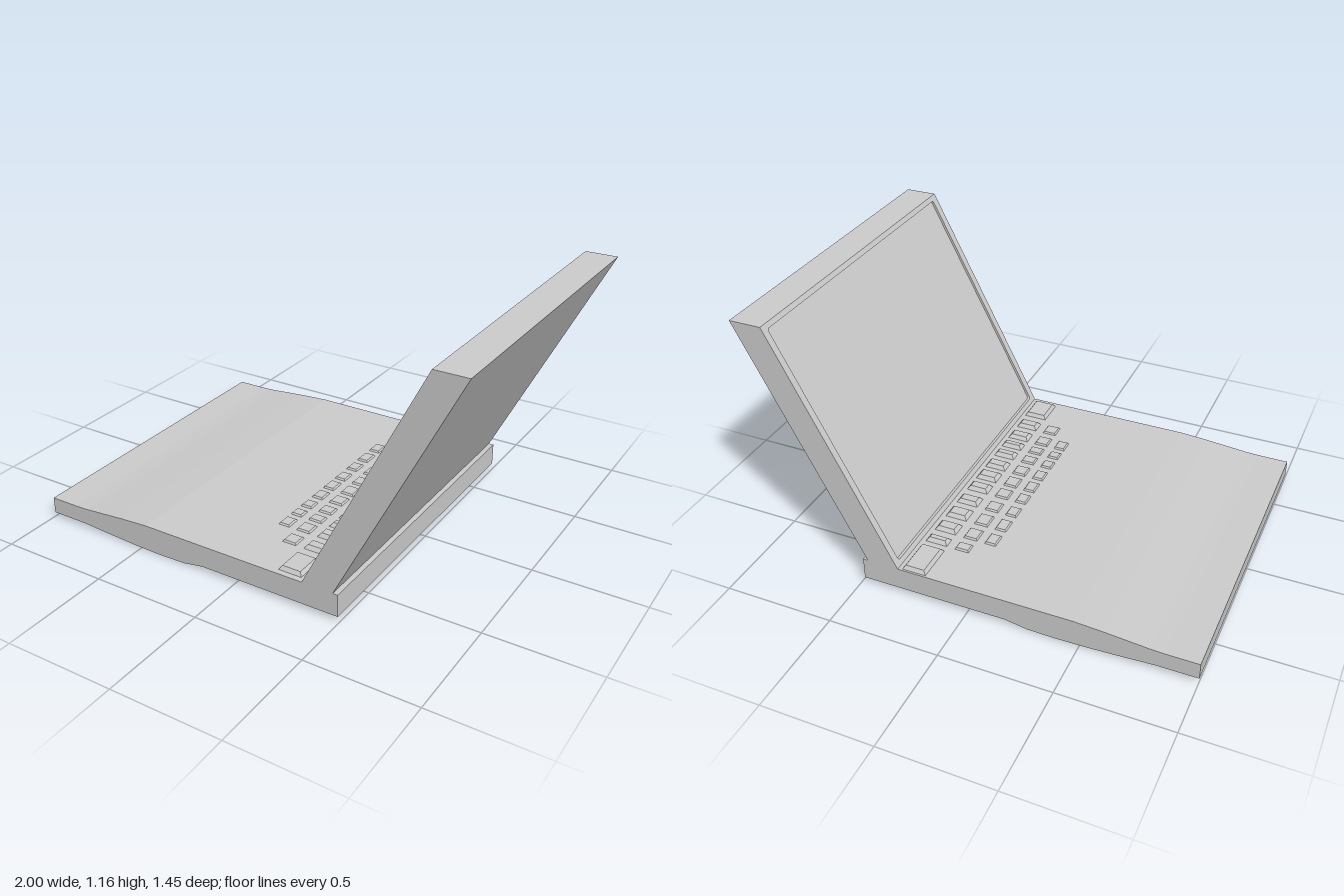
import * as THREE from 'three';

const material = new THREE.MeshStandardMaterial({ color: 0xcccccc, flatShading: true });
const HALF = 0.727; // half of the width along z

function add(parent, name, geometry) {
  const mesh = new THREE.Mesh(geometry, material);
  mesh.name = name;
  parent.add(mesh);
  return mesh;
}

function shapeOf(points) {
  return new THREE.Shape(points.map(([x, y]) => new THREE.Vector2(x, y)));
}

function extrude(shape, depth) {
  return new THREE.ExtrudeGeometry(shape, { depth, bevelEnabled: false, curveSegments: 4 });
}

// Rounded rectangle, used for the opening of the screen bezel
function roundedRect(path, x0, y0, x1, y1, rx, ry) {
  path.moveTo(x0 + rx, y0);
  path.lineTo(x1 - rx, y0);
  path.quadraticCurveTo(x1, y0, x1, y0 + ry);
  path.lineTo(x1, y1 - ry);
  path.quadraticCurveTo(x1, y1, x1 - rx, y1);
  path.lineTo(x0 + rx, y1);
  path.quadraticCurveTo(x0, y1, x0, y1 - ry);
  path.lineTo(x0, y0 + ry);
  path.quadraticCurveTo(x0, y0, x0 + rx, y0);
  return path;
}

// Key: a box whose top is drawn in to make sloping sides
function keyGeometry(x0, x1, z0, z1, top, bevel) {
  const bottom = 0.115;
  const geometry = new THREE.BoxGeometry(x1 - x0, top - bottom, z1 - z0);
  const p = geometry.attributes.position;
  for (let i = 0; i < p.count; i++) {
    if (p.getY(i) < 0) continue;
    p.setX(i, p.getX(i) - Math.sign(p.getX(i)) * bevel);
    p.setZ(i, p.getZ(i) - Math.sign(p.getZ(i)) * bevel);
  }
  geometry.translate((x0 + x1) / 2, (top + bottom) / 2, (z0 + z1) / 2);
  geometry.computeVertexNormals();
  return geometry;
}

export function createModel() {
  const model = new THREE.Group();
  model.name = 'laptop';

  // Base: side profile drawn across the full width
  const base = extrude(shapeOf([
    [-1, 0.02], [-0.82, 0.02], [-0.7, 0.012], [-0.55, 0.004], [-0.4, 0], [-0.27, 0.003], [-0.17, 0.02],
    [0.49, 0.02], [0.49, 0.122], [-0.47, 0.122], [-0.6, 0.114], [-0.8, 0.097], [-0.86, 0.095], [-1, 0.095],
  ]), 2 * HALF);
  add(model, 'base', base.translate(0, 0, -HALF));

  // Lid: slanted slab with a bezel around a recessed screen.
  // Drawn as (height 0..1, z) and sheared onto the slope.
  const lid = new THREE.Group();
  lid.name = 'lid';
  model.add(lid);
  const slope = new THREE.Matrix4().makeBasis(
    new THREE.Vector3(0.53, 1.045, 0),
    new THREE.Vector3(0, 0, 1),
    new THREE.Vector3(1, 0, 0),
  ).setPosition(0.322, 0.12, 0);
  const outline = () => shapeOf([[0, -HALF], [1, -HALF], [1, HALF], [0, HALF]]);
  const recess = 0.012;

  const bezel = outline();
  bezel.holes.push(roundedRect(new THREE.Path(), 0.022, -0.695, 0.98, 0.69, 0.012, 0.012));
  add(lid, 'screenBezel', extrude(bezel, recess).applyMatrix4(slope));
  const back = extrude(outline(), 0.144 - recess).translate(0, 0, recess);
  add(lid, 'screenBack', back.applyMatrix4(slope));

  // Keyboard: three rows sharing the same spacing
  const keyboard = new THREE.Group();
  keyboard.name = 'keyboard';
  model.add(keyboard);
  const spans = [
    [-0.52, -0.46], [-0.435, -0.355], [-0.33, -0.245], [-0.22, -0.145], [-0.115, -0.04], [-0.02, 0.06],
    [0.08, 0.155], [0.18, 0.245], [0.265, 0.325], [0.345, 0.42], [0.45, 0.525],
  ];
  const rows = [
    { name: 'frontKey', x0: 0.003, x1: 0.065, top: 0.13, bevel: 0.01, from: 1, to: 10 },
    { name: 'middleKey', x0: 0.092, x1: 0.166, top: 0.13, bevel: 0.01, from: 0, to: 11 },
    { name: 'backKey', x0: 0.195, x1: 0.307, top: 0.139, bevel: 0.019, from: 0, to: 11 },
  ];
  for (const { name, x0, x1, top, bevel, from, to } of rows) {
    for (const [z0, z1] of spans.slice(from, to)) {
      add(keyboard, name, keyGeometry(x0, x1, z0, z1, top, bevel));
    }
  }
  // Wide keys at both ends of the back row
  for (const [z0, z1] of [[-0.723, -0.54], [0.56, 0.705]]) {
    add(keyboard, 'wideKey', keyGeometry(0.192, 0.31, z0, z1, 0.139, 0.016));
  }

  return model;
}
